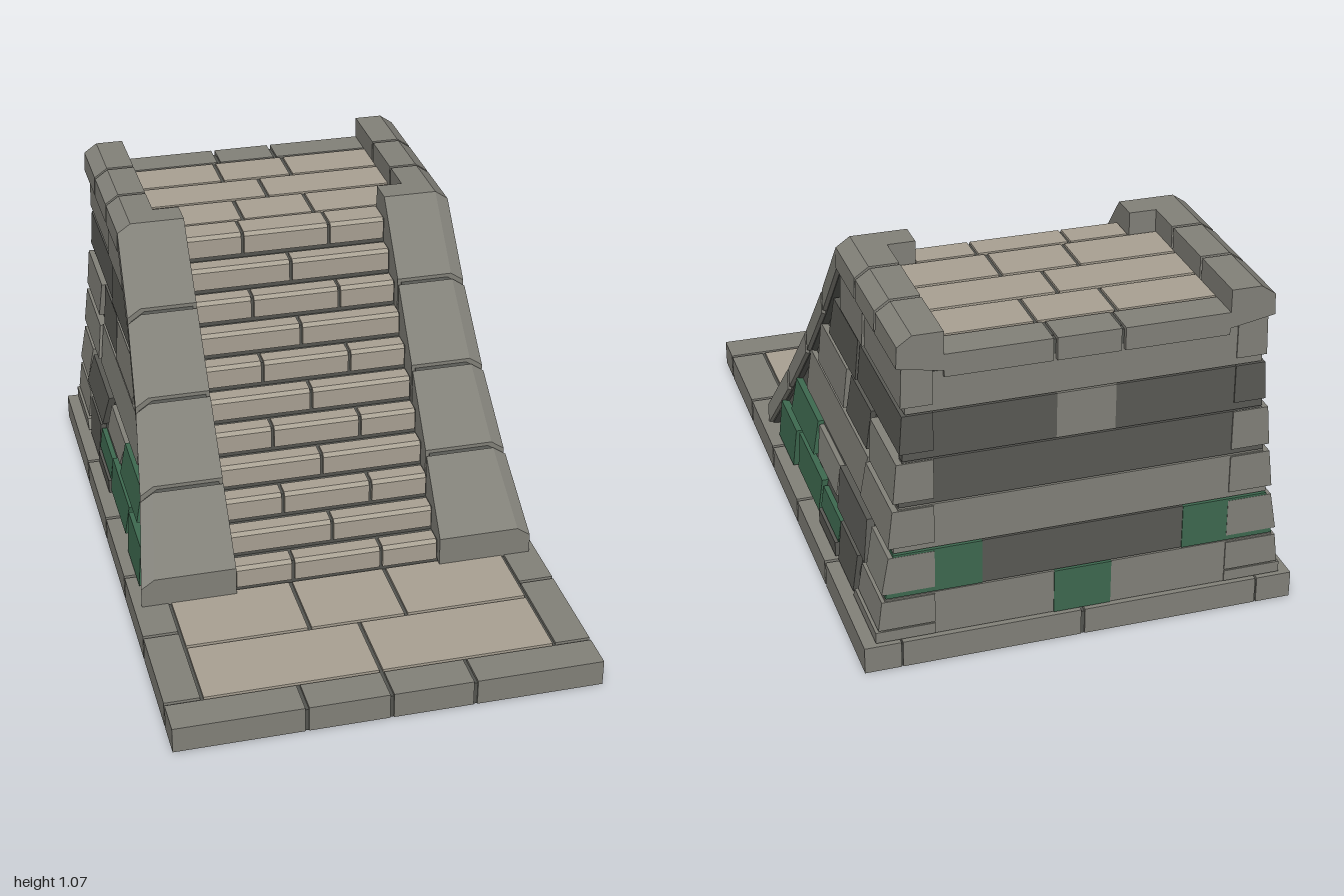
import * as THREE from 'three';

const mat = (name, color) => {
  const m = new THREE.MeshStandardMaterial({ color, flatShading: true });
  m.name = name;
  return m;
};

export function createModel() {
  const root = new THREE.Group();
  root.name = 'stoneStaircase';
  const gray = mat('grayStone', 0x83827a);
  const dark = mat('darkStone', 0x5a5a55);
  const green = mat('mossyStone', 0x3e6a50);
  const tan = mat('pavingStone', 0xaaa294);
  const grout = mat('grout', 0x545550);

  const add = (parent, name, geo, material) => {
    const m = new THREE.Mesh(geo, material);
    m.name = name;
    parent.add(m);
    return m;
  };
  const group = (name) => {
    const g = new THREE.Group();
    g.name = name;
    root.add(g);
    return g;
  };
  // Box given by its limits
  const block = (parent, name, material, x0, x1, y0, y1, z0, z1) => {
    const g = new THREE.BoxGeometry(x1 - x0, y1 - y0, Math.abs(z1 - z0));
    g.translate((x0 + x1) / 2, (y0 + y1) / 2, (z0 + z1) / 2);
    return add(parent, name, g, material);
  };
  // Closed solid through convex rings of equal size, always wound outwards
  const loft = (parent, name, material, rings) => {
    const tris = [];
    const n = rings[0].length;
    for (let r = 0; r < rings.length - 1; r++) {
      for (let i = 0; i < n; i++) {
        const j = (i + 1) % n, a = rings[r], b = rings[r + 1];
        tris.push([a[i], a[j], b[j]], [a[i], b[j], b[i]]);
      }
    }
    const first = rings[0], last = rings[rings.length - 1];
    for (let i = 1; i < n - 1; i++) {
      tris.push([first[0], first[i + 1], first[i]], [last[0], last[i], last[i + 1]]);
    }
    const V = (p) => new THREE.Vector3(...p);
    const o = V(first[0]);
    let vol = 0;
    for (const [a, b, c] of tris) vol += V(a).sub(o).dot(V(b).sub(o).cross(V(c).sub(o)));
    if (vol < 0) tris.forEach((t) => t.reverse());
    const g = new THREE.BufferGeometry();
    g.setAttribute('position', new THREE.Float32BufferAttribute(tris.flat(2), 3));
    g.computeVertexNormals();
    return add(parent, name, g, material);
  };
  // Row of blocks between x breaks, with a joint between neighbours
  const rowX = (parent, name, material, breaks, y0, y1, z0, z1, gap = 0.012) => {
    for (let i = 0; i < breaks.length - 1; i++) {
      const l = i ? gap / 2 : 0, r = i < breaks.length - 2 ? gap / 2 : 0;
      block(parent, name, material, breaks[i] + l, breaks[i + 1] - r, y0, y1, z0, z1);
    }
  };

  // Flared outline of the flanks: half width at height y
  const flare = [[0.64, 0.085], [0.64, 0.16], [0.6, 0.385], [0.575, 0.6], [0.56, 0.82], [0.553, 1.04], [0.55, 1.2]];
  const halfWidth = (y) => {
    if (y <= flare[0][1]) return flare[0][0];
    const i = Math.max(1, flare.findIndex((p) => p[1] >= y));
    const [xa, ya] = flare[i - 1], [xb, yb] = flare[i];
    return xa + (xb - xa) * (y - ya) / (yb - ya);
  };
  const slope = 0.89 / 0.71;
  const railTop = (z) => 0.18 + (0.38 - z) * slope;
  const railZ = (y) => 0.38 - (y - 0.18) / slope;

  // Base slab with border stones and landing paving
  const base = group('base');
  block(base, 'baseBed', grout, -0.66, 0.66, 0, 0.076, -0.995, 0.995);
  const B = 0.665, T = 0.085;
  rowX(base, 'frontBorder', gray, [-B, -0.26, 0, 0.26, B], 0.001, T, 0.886, 1);
  rowX(base, 'backBorder', gray, [-0.55, 0, 0.55], 0.001, T, -1, -0.89);
  const sideJoints = [0.886, 0.54, 0.205, -0.15, -0.525, -1];
  for (const s of [-1, 1]) {
    for (let i = 0; i < 5; i++) {
      const x = [s * 0.555, s * B].sort((a, b) => a - b);
      block(base, 'sideBorder', gray, x[0], x[1], 0.001, T,
        sideJoints[i] - (i ? 0.006 : 0.012), sideJoints[i + 1] + (i < 4 ? 0.006 : 0));
    }
  }
  rowX(base, 'landingPaving', tan, [-0.545, 0, 0.545], 0.05, T, 0.625, 0.875);
  rowX(base, 'landingPaving', tan, [-0.545, -0.155, 0.155, 0.545], 0.05, T, 0.36, 0.613);

  // Steps: chamfered stones over a recessed core
  const stairs = group('stairs');
  const rise = 0.0832, run = 0.068;
  for (let k = 0; k < 11; k++) {
    const zf = 0.362 - run * k, y0 = T + rise * k, y1 = y0 + rise;
    const zb = k === 10 ? -0.415 : zf - run + 0.008;
    block(stairs, 'stepCore', grout, -0.338, 0.338, y0 - 0.02, y1 - 0.008, -0.965, zf - 0.012);
    const breaks = k % 2 ? [-0.335, 0, 0.335] : [-0.335, -0.145, 0.145, 0.335];
    for (let i = 0; i < breaks.length - 1; i++) {
      const ring = (x) => [[zf, y0 + 0.01], [zf, y1 - 0.012], [zf - 0.01, y1], [zb, y1], [zb, y0 + 0.01]]
        .map(([z, y]) => [x, y, z]);
      loft(stairs, 'stepStone', tan, [ring(breaks[i] + 0.005), ring(breaks[i + 1] - 0.005)]);
    }
  }

  // Top platform
  const platform = group('platform');
  block(platform, 'platformBed', grout, -0.5, 0.5, 0.93, 0.99, -0.985, -0.4);
  [[-0.425, -0.572], [-0.584, -0.727], [-0.739, -0.885]].forEach(([z0, z1], i) =>
    rowX(platform, 'platformPaving', tan, i === 1 ? [-0.42, 0, 0.42] : [-0.42, -0.12, 0.12, 0.42], 0.95, 1, z0, z1));
  rowX(platform, 'platformEdge', gray, [-0.42, -0.1, 0.1, 0.42], 0.93, 1, -1, -0.895);

  // Flank stones: [z front bottom, z back bottom, z front top, z back top, y0, y1, material]
  const flank = [
    [0.27, 0.06, 0.26, 0.045, 0.09, 0.225, green],
    [0, -0.28, 0.025, -0.29, 0.115, 0.23, green],
    [-0.3, -0.52, -0.3, -0.52, 0.145, 0.215, green],
    [-0.3, -0.51, -0.3, -0.51, 0.09, 0.138, dark],
    [-0.53, -0.71, -0.53, -0.73, 0.09, 0.225, dark],
    [-0.76, -0.99, -0.77, -0.99, 0.13, 0.225, gray],
    [-0.73, -0.99, -0.75, -0.99, 0.09, 0.125, gray],
    [0.15, -0.16, 0.145, -0.155, 0.25, 0.365, green],
    [-0.2, -0.44, -0.16, -0.43, 0.26, 0.355, gray],
    [-0.49, -0.81, -0.45, -0.77, 0.25, 0.37, dark],
    [-0.82, -0.99, -0.81, -0.99, 0.25, 0.37, gray],
    [0.03, -0.67, 0.02, -0.69, 0.39, 0.53, gray],
    [-0.68, -0.99, -0.7, -0.99, 0.4, 0.52, gray],
    [-0.09, -0.41, -0.095, -0.42, 0.545, 0.68, gray],
    [-0.43, -0.67, -0.46, -0.69, 0.545, 0.68, dark],
    [-0.73, -0.99, -0.71, -0.99, 0.545, 0.67, gray],
    [-0.2, -0.52, -0.24, -0.53, 0.695, 0.83, dark],
    [-0.53, -0.99, -0.54, -0.99, 0.7, 0.82, dark],
    [-0.335, -0.59, -0.335, -0.595, 0.84, 0.97, gray],
    [-0.6, -0.99, -0.605, -0.99, 0.845, 0.965, gray],
  ];
  for (const s of [-1, 1]) {
    const side = group(s > 0 ? 'leftFlank' : 'rightFlank');
    // Flared core behind the stones
    loft(side, 'flankCore', grout, [0.08, 0.16, 0.385, 0.6, 0.82, 0.98].map((y) => {
      const x = halfWidth(y) - 0.036, zf = Math.min(0.36, railZ(y + 0.09));
      return [[s * 0.34, y, zf], [s * x, y, zf], [s * x, y, -0.97], [s * 0.3, y, -0.97]];
    }));
    flank.forEach(([a, b, c, d, y0, y1, m], i) => {
      const out = 0.012 + (i % 3) * 0.004;
      const ring = (xb, xt) => [[s * xb, y0, a], [s * xb, y0, b], [s * xt, y1, d], [s * xt, y1, c]];
      loft(side, 'flankStone', m, [ring(0.45, 0.45), ring(halfWidth(y0) - out, halfWidth(y1) - out)]);
    });

    // Sloping parapet of four chamfered stones
    const section = (z, e = 0) => {
      const y = railTop(z) - e, xo = halfWidth(railTop(z) - 0.03) - e;
      return [[0.335 + e, Math.max(0.08, y - 0.22)], [0.335 + e, y], [xo - 0.043, y], [xo, y - 0.03],
        [xo, Math.max(0.08, y - 0.1)]].map(([x, yy]) => [s * x, yy, z]);
    };
    const cuts = [0.18, 0.4, 0.62, 0.845, 1.07].map(railZ);
    loft(side, 'parapetCore', grout, cuts.map((z, i) => section(i ? z : z - 0.01, 0.012)));
    for (let i = 0; i < 4; i++) {
      loft(side, 'parapetStone', gray, [section(cuts[i] - (i ? 0.006 : 0)), section(cuts[i + 1] + (i < 3 ? 0.006 : 0))]);
    }

    // Level coping beside the platform
    const coping = (name, m, z0, z1, xi, e = 0) => loft(side, name, m, [z0, z1].map((z) =>
      [[xi + e, 0.95], [xi + e, 1.07 - e], [0.51 - e, 1.07 - e], [0.553 - e, 1.04 - e], [0.556 - e, 0.975]]
        .map(([x, y]) => [s * x, y, z])));
    coping('copingCore', grout, -0.4, -0.98, 0.42, 0.012);
    coping('copingStone', gray, -0.33, -0.42, 0.335);
    coping('copingStone', gray, -0.42, -0.549, 0.42);
    coping('copingStone', gray, -0.561, -0.769, 0.42);
    coping('copingStone', gray, -0.781, -1, 0.42);
  }

  // Back wall: rows of [x0, x1, material], ends trimmed to the flare
  const back = group('backWall');
  const backRows = [
    [[-1, -0.09, gray], [-0.09, 0.09, green], [0.09, 1, gray]],
    [[-1, -0.31, green], [-0.31, 0.31, dark], [0.31, 1, green]],
    [[-1, -0.1, gray], [-0.1, 0.1, gray], [0.1, 1, gray]],
    [[-1, 1, dark]],
    [[-1, -0.09, dark], [-0.09, 0.09, gray], [0.09, 1, dark]],
    [[-1, -0.2, gray], [-0.2, 0.2, gray], [0.2, 1, gray]],
  ];
  backRows.forEach((row, r) => {
    const y0 = 0.088 + r * 0.147, y1 = Math.min(y0 + 0.142, 0.945);
    for (const [x0, x1, m] of row) {
      const fit = (x, y) => Math.sign(x) * Math.min(Math.abs(x) - 0.002, halfWidth(y) - 0.03);
      const ring = (z) => [[fit(x0, y0), y0, z], [fit(x1, y0), y0, z], [fit(x1, y1), y1, z], [fit(x0, y1), y1, z]];
      loft(back, 'backStone', m, [ring(-0.95), ring(-0.986 - (m === green ? 0.003 : 0))]);
    }
  });
  return root;
}
